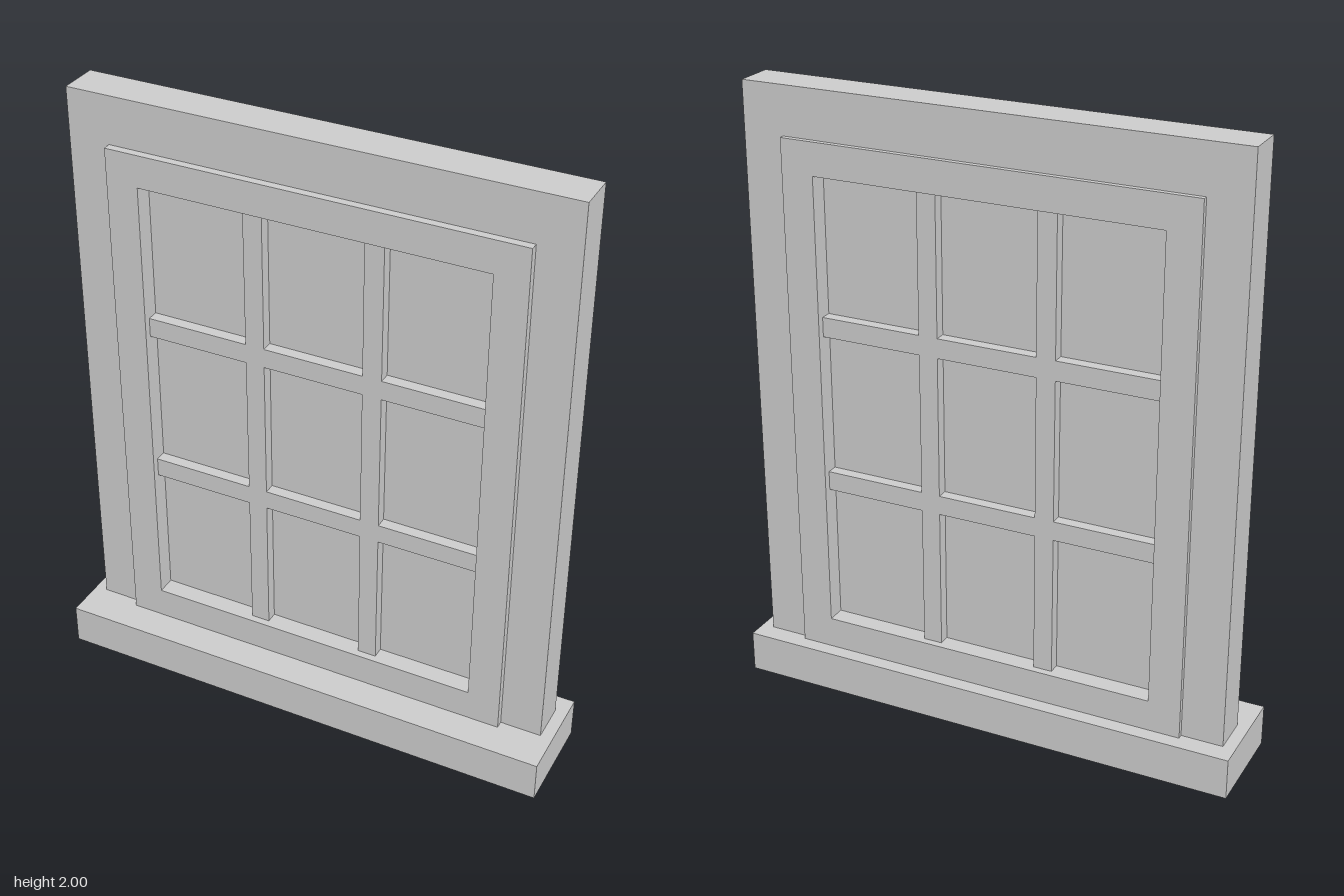
import * as THREE from 'three';

const material = new THREE.MeshStandardMaterial({ color: 0xcccccc, flatShading: true });

// Box given by its min and max on each axis
function box(name, [x0, x1], [y0, y1], [z0, z1]) {
  const mesh = new THREE.Mesh(new THREE.BoxGeometry(x1 - x0, y1 - y0, z1 - z0), material);
  mesh.position.set((x0 + x1) / 2, (y0 + y1) / 2, (z0 + z1) / 2);
  mesh.name = name;
  return mesh;
}

const rect = (Type, [x0, x1], [y0, y1]) => new Type([
  new THREE.Vector2(x0, y0), new THREE.Vector2(x1, y0),
  new THREE.Vector2(x1, y1), new THREE.Vector2(x0, y1),
]);

// Rectangular surround with a rectangular opening
function surround(name, outerX, outerY, innerX, innerY, [z0, z1]) {
  const shape = rect(THREE.Shape, outerX, outerY);
  shape.holes.push(rect(THREE.Path, innerX, innerY));
  const geometry = new THREE.ExtrudeGeometry(shape, { depth: z1 - z0, bevelEnabled: false });
  const mesh = new THREE.Mesh(geometry, material);
  mesh.position.z = z0;
  mesh.name = name;
  return mesh;
}

export function createModel() {
  const model = new THREE.Group();
  model.name = 'window';

  const sillTop = 0.135;
  const sashX = [-0.665, 0.662], sashY = [sillTop, 1.845];
  const openX = [-0.56, 0.556], openY = [0.238, 1.74];

  // Sill
  model.add(box('sill', [-0.84, 0.836], [0, sillTop], [-0.165, 0.163]));

  // Outer frame: two jambs and a head, standing on the sill
  const frame = new THREE.Shape([
    [-0.8, sillTop], [sashX[0], sillTop], [sashX[0], sashY[1]], [sashX[1], sashY[1]],
    [sashX[1], sillTop], [0.796, sillTop], [0.796, 2], [-0.8, 2],
  ].map(([x, y]) => new THREE.Vector2(x, y)));
  const outerFrame = new THREE.Mesh(
    new THREE.ExtrudeGeometry(frame, { depth: 0.13, bevelEnabled: false }), material);
  outerFrame.position.z = -0.1;
  outerFrame.name = 'outerFrame';
  model.add(outerFrame);

  // Sash, proud of the frame on both faces
  model.add(surround('sash', sashX, sashY, openX, openY, [-0.117, 0.056]));

  // Glazing bars, set slightly back from the sash
  const bars = new THREE.Group();
  bars.name = 'glazingBars';
  const barZ = [-0.093, 0.032];
  for (const x of [[-0.226, -0.164], [0.161, 0.223]]) bars.add(box('verticalBar', x, openY, barZ));
  for (const y of [[0.7, 0.763], [1.223, 1.287]]) bars.add(box('horizontalBar', openX, y, barZ));
  model.add(bars);

  // Glass
  model.add(box('glass', openX, openY, [-0.056, -0.006]));

  return model;
}
